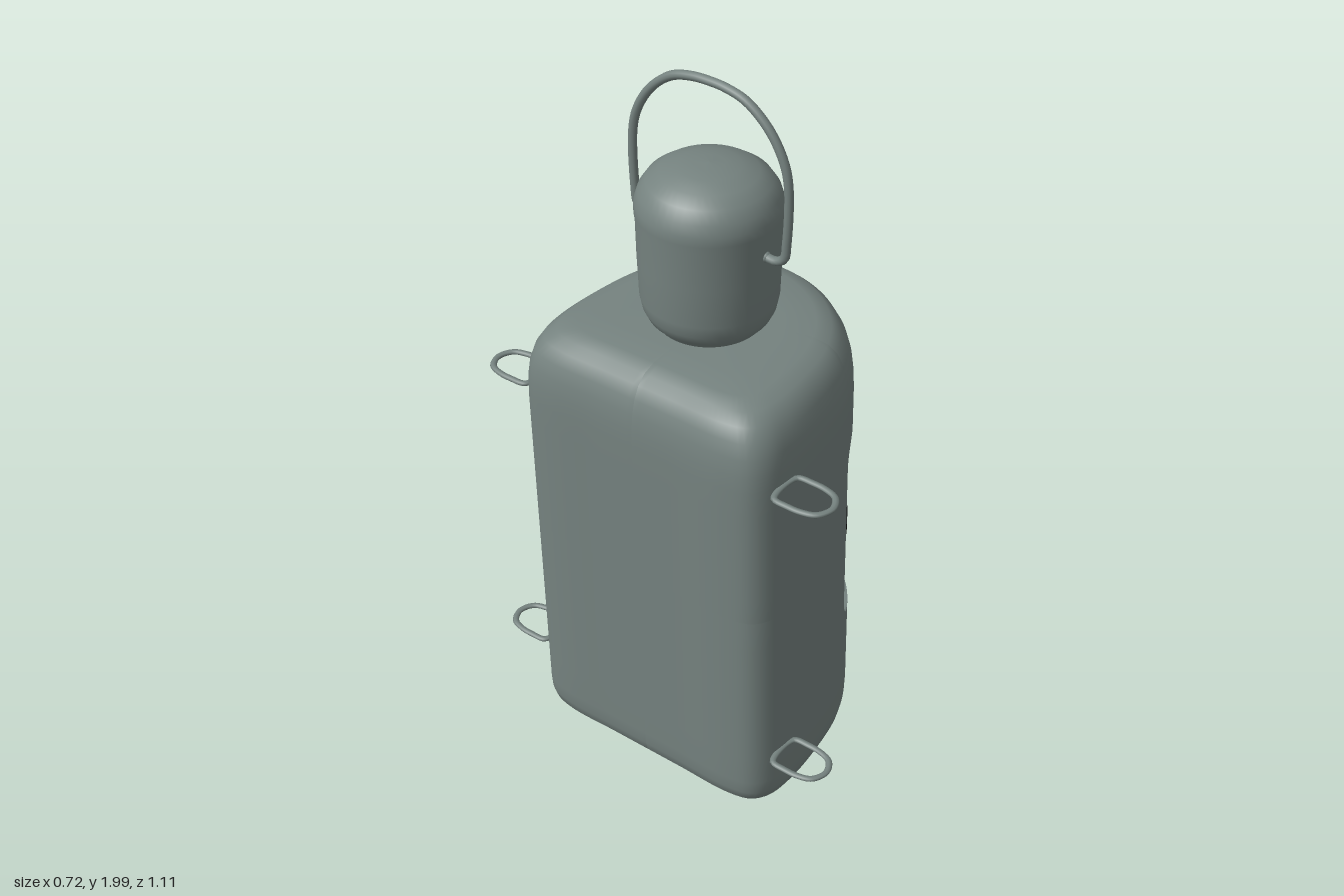
import * as THREE from 'three';

const V3 = (x, y, z) => new THREE.Vector3(x, y, z);
const lerp = THREE.MathUtils.lerp;

// Smooth surface from a grid of points given by f(column, row)
function gridGeometry(cols, rows, f) {
  const pos = [], idx = [];
  for (let i = 0; i < cols; i++)
    for (let j = 0; j < rows; j++) pos.push(...f(i, j).toArray());
  for (let i = 0; i < cols - 1; i++)
    for (let j = 0; j < rows - 1; j++) {
      const a = i * rows + j, b = a + rows;
      idx.push(a, b, b + 1, a, b + 1, a + 1);
    }
  const g = new THREE.BufferGeometry();
  g.setAttribute('position', new THREE.Float32BufferAttribute(pos, 3));
  g.setIndex(idx);
  g.computeVertexNormals();
  return g;
}

export function createModel() {
  const group = new THREE.Group();
  const metal = new THREE.MeshStandardMaterial({ color: 0x75827f, side: THREE.DoubleSide });
  metal.name = 'grey metal';
  const dark = new THREE.MeshStandardMaterial({ color: 0x0e0e0e, side: THREE.DoubleSide });
  dark.name = 'black lens';
  const add = (name, geometry, material = metal, parent = group) => {
    const m = new THREE.Mesh(geometry, material);
    m.name = name;
    parent.add(m);
    return m;
  };

  // D-shaped outline of the housing, flat on -x and round on +x
  const half = [[-0.36, 0.12], [-0.36, 0.28], [-0.342, 0.35], [-0.3, 0.383], [-0.22, 0.396],
    [-0.08, 0.39], [0.08, 0.36], [0.22, 0.28], [0.32, 0.15]];
  const loop = [[-0.36, 0], ...half, [0.36, 0], ...half.map(([x, z]) => [x, -z]).reverse()];
  const outline = new THREE.CatmullRomCurve3(loop.map(([x, z]) => V3(x, 0, z)), true);
  outline.arcLengthDivisions = 800;
  const length = outline.getLength();
  // Housing leans very slightly towards the back as it rises
  const at = (t, k, y) => {
    const p = outline.getPointAt(t % 1);
    return V3(p.x * k, y, p.z * k + 0.01 - 0.016 * y);
  };

  // Window opening: columns between t0 and 1 - t0
  let t0 = 0.25;
  while (outline.getPointAt(t0).x < 0.09) t0 += 0.001;
  const t1 = 1 - t0, MID = 0.68, LOW = 0.375, HIGH = 0.98, R = 0.07;
  const corner = t => {
    const d = Math.min(t - t0, t1 - t) * length;
    return d >= R ? 0 : R - Math.sqrt(Math.max(0, R * R - (R - d) ** 2));
  };
  const columns = [];
  for (let i = 0; i <= 44; i++) columns.push({ t: t0 * i / 44, low: MID, high: MID });
  const opening = [];
  for (let i = 0; i <= 60; i++) {
    const t = lerp(t0, t1, (1 - Math.cos(Math.PI * i / 60)) / 2);
    opening.push({ t, low: LOW + corner(t), high: HIGH - corner(t) });
  }
  columns.push(...opening);
  for (let i = 0; i <= 44; i++) columns.push({ t: lerp(t1, 1, i / 44), low: MID, high: MID });

  // Housing halves: rounded base below the window, domed shoulder above it
  const base = [[0, 0.012], [0.5, 0.01], [0.85, 0.005], [0.93, 0.01], [0.975, 0.03], [0.995, 0.06], [1, 0.1]];
  const shoulder = [[1, 1.1], [0.995, 1.15], [0.98, 1.195], [0.95, 1.235], [0.9, 1.268],
    [0.83, 1.29], [0.72, 1.302], [0.5, 1.306], [0, 1.308]];
  const STEPS = 6;
  add('lowerHousing', gridGeometry(columns.length, base.length + STEPS, (i, j) => {
    const c = columns[i];
    if (j < base.length) return at(c.t, ...base[j]);
    return at(c.t, 1, lerp(0.1, c.low, (j - base.length + 1) / STEPS));
  }));
  add('upperHousing', gridGeometry(columns.length, shoulder.length + STEPS, (i, j) => {
    const c = columns[i];
    if (j >= STEPS) return at(c.t, ...shoulder[j - STEPS]);
    return at(c.t, 1, lerp(c.high, 1.1, j / STEPS));
  }));

  // Inward lip around the window
  const edge = [...opening.map(c => [c.t, c.low]), ...opening.map(c => [c.t, c.high]).reverse()];
  edge.push(edge[0]);
  add('windowRim', gridGeometry(edge.length, 2, (i, j) => at(edge[i][0], j ? 1 : 0.92, edge[i][1])));

  // Ribbed lens behind the window
  const ribs = [[0.93, 0.35], [0.95, 0.39], [0.92, 0.405], [0.95, 0.44], [0.915, 0.46], [0.95, 0.49],
    [0.925, 0.505], [0.925, 0.55], [0.955, 0.59], [0.98, 0.64], [0.98, 0.69], [0.95, 0.74], [0.92, 0.78],
    [0.915, 0.805], [0.94, 0.815], [0.93, 0.86], [0.945, 0.9], [0.97, 0.94], [0.93, 0.96], [0.93, 1.0]];
  add('lens', gridGeometry(61, ribs.length, (i, j) =>
    at(lerp(t0 - 0.02, t1 + 0.02, i / 60), ...ribs[j])), dark);

  // Chimney with domed cap
  const capProfile = [[0.13, 1.29], [0.142, 1.312], [0.16, 1.33], [0.172, 1.355], [0.179, 1.39], [0.183, 1.5],
    [0.185, 1.61], [0.188, 1.63], [0.187, 1.655], [0.178, 1.685], [0.158, 1.715], [0.125, 1.738],
    [0.08, 1.753], [0.04, 1.758], [0, 1.76]];
  const chimney = add('chimney', new THREE.LatheGeometry(
    capProfile.map(([r, y]) => new THREE.Vector2(r, y)), 48));
  chimney.position.set(-0.019, 0, -0.016);

  // Carrying handle
  const handlePath = [[0.17, 1.562], [0.2, 1.56], [0.225, 1.575], [0.232, 1.62], [0.234, 1.78], [0.218, 1.845],
    [0.175, 1.915], [0.11, 1.968], [0.05, 1.985]];
  const handlePoints = [...handlePath, [0, 1.988], ...handlePath.map(([z, y]) => [-z, y]).reverse()]
    .map(([z, y]) => V3(-0.032, y, z - 0.007));
  add('handle', new THREE.TubeGeometry(new THREE.CatmullRomCurve3(handlePoints), 90, 0.012, 10));
  for (const end of [handlePoints[0], handlePoints[handlePoints.length - 1]])
    add('handlePivot', new THREE.SphereGeometry(0.015, 12, 8)).position.copy(end);

  // Flat mounting loops on the front and back sides
  const loopHalf = [[0.03, 0], [0.052, 0.01], [0.056, 0.05], [0.054, 0.09], [0.04, 0.127]];
  const loopPoints = [...loopHalf, [0, 0.145], ...loopHalf.map(([x, z]) => [-x, z]).reverse()]
    .map(([x, z]) => V3(x, 0, z));
  const loopGeometry = new THREE.TubeGeometry(
    new THREE.CatmullRomCurve3(loopPoints, true), 48, 0.009, 8, true).scale(1, 0.7, 1);
  const mounts = [
    ['upperFrontLoop', -0.264, 1.098, 0.388, 1], ['lowerFrontLoop', -0.264, 0.195, 0.402, 1],
    ['upperBackLoop', -0.246, 1.086, -0.405, -1], ['lowerBackLoop', -0.246, 0.181, -0.395, -1]];
  for (const [name, x, y, z, side] of mounts) {
    const m = add(name, loopGeometry);
    m.position.set(x, y, z);
    if (side < 0) m.rotation.y = Math.PI;
  }
  return group;
}
